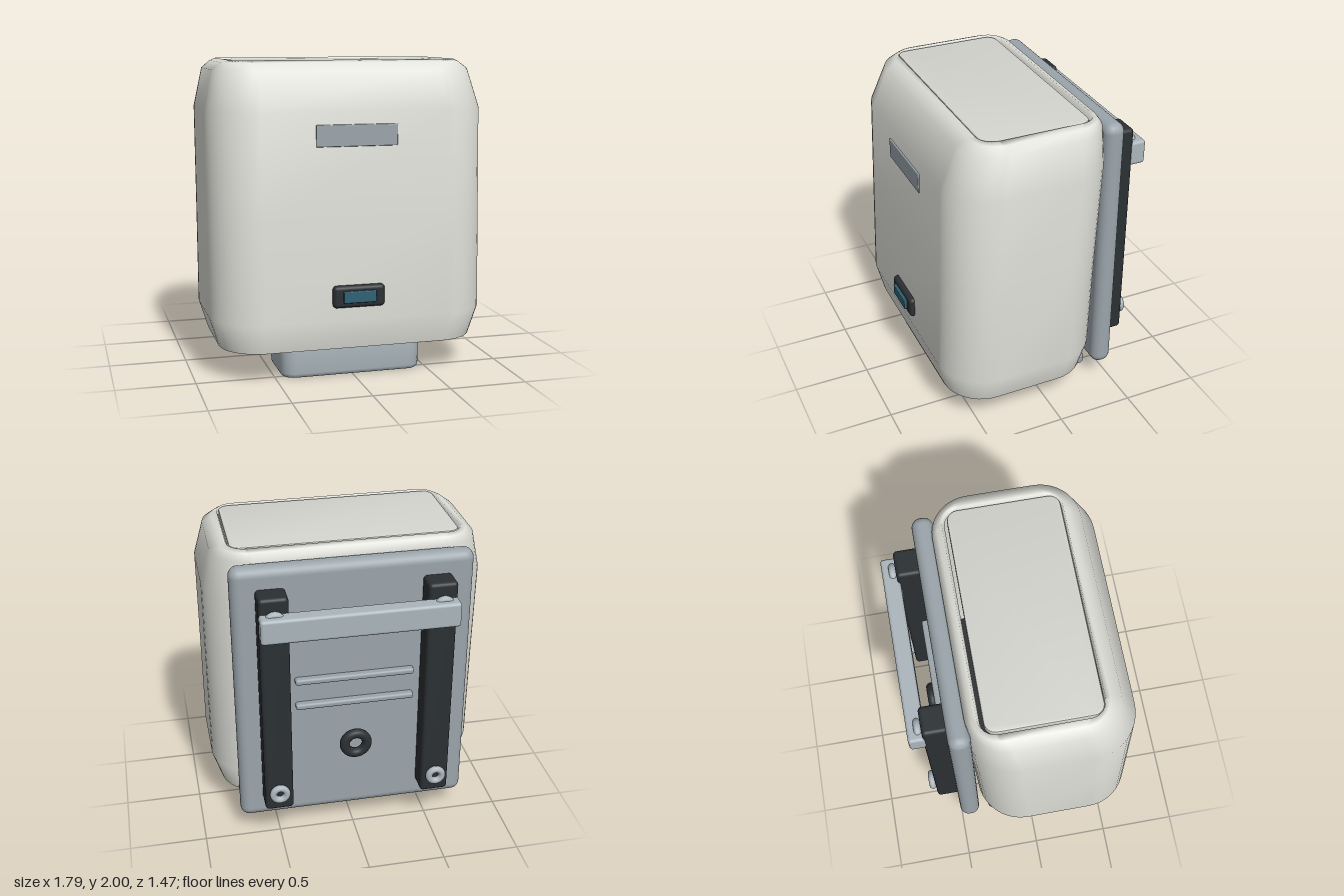
import * as THREE from 'three';
import { toCreasedNormals } from 'three/addons/utils/BufferGeometryUtils.js';
import { RoundedBoxGeometry } from 'three/addons/geometries/RoundedBoxGeometry.js';

const mat = (color, side = THREE.FrontSide) => new THREE.MeshStandardMaterial({ color, side });
const white = mat(0xe0e1da, THREE.DoubleSide);
const lidMat = mat(0xd3d4ce);
const grey = mat(0x9ba5ab);
const pale = mat(0xabb6bc);
const dark = mat(0x2b3033);
const blue = mat(0x2f6073);

// Rounded rectangle outline as [x, z] points
function outline(hw, z0, z1, r, n = 10) {
  const pts = [];
  const corners = [[hw - r, z1 - r], [-hw + r, z1 - r], [-hw + r, z0 + r], [hw - r, z0 + r]];
  corners.forEach(([cx, cz], k) => {
    for (let i = 0; i <= n; i++) {
      const a = (k + i / n) * Math.PI / 2;
      pts.push([cx + r * Math.cos(a), cz + r * Math.sin(a)]);
    }
  });
  return pts;
}

// Skin over sections [y, halfWidth, zBack, zFront, radius], from bottom to top
function loft(sections) {
  const pos = [], idx = [];
  let n = 0;
  sections.forEach(([y, hw, z0, z1, r]) => {
    const ring = outline(hw, z0, z1, r);
    n = ring.length;
    ring.forEach(([x, z]) => pos.push(x, y, z));
  });
  for (let s = 0; s < sections.length - 1; s++) {
    for (let i = 0; i < n; i++) {
      const a = s * n + i, b = s * n + (i + 1) % n;
      idx.push(a, a + n, b, b, a + n, b + n);
    }
  }
  const g = new THREE.BufferGeometry();
  g.setAttribute('position', new THREE.Float32BufferAttribute(pos, 3));
  g.setIndex(idx);
  g.computeVertexNormals();
  return g;
}

// Rounded-rectangle tube standing along y, with an opening through it
function frame(hw, z0, z1, r, ihw, iz0, iz1, ir, y0, y1, bevel) {
  const toV = ([x, z]) => new THREE.Vector2(x, -z);
  const shape = new THREE.Shape(outline(hw, z0, z1, r).map(toV));
  shape.holes.push(new THREE.Path(outline(ihw, iz0, iz1, ir).map(toV)));
  const g = new THREE.ExtrudeGeometry(shape, {
    depth: y1 - y0 - 2 * bevel, bevelEnabled: true, bevelSize: bevel,
    bevelThickness: bevel, bevelOffset: -bevel, bevelSegments: 3,
  });
  g.rotateX(-Math.PI / 2).translate(0, y0 + bevel, 0);
  return toCreasedNormals(g, 0.6);
}

export function createModel() {
  const model = new THREE.Group();
  const add = (name, geometry, material) => {
    const m = new THREE.Mesh(geometry, material);
    m.name = name;
    model.add(m);
    return m;
  };
  // Box given by its limits, with rounded edges when r > 0
  const box = (name, [x0, x1], [y0, y1], [z0, z1], r, material) => {
    const s = [x1 - x0, y1 - y0, z1 - z0];
    const m = add(name, r ? new RoundedBoxGeometry(...s, 4, r) : new THREE.BoxGeometry(...s), material);
    m.position.set((x0 + x1) / 2, (y0 + y1) / 2, (z0 + z1) / 2);
    return m;
  };

  // Housing shell, open below, with a groove around the lid
  add('housing', loft([
    [0.20, 0.835, -0.31, 0.645, 0.26],
    [0.39, 0.895, -0.35, 0.69, 0.30],
    [1.05, 0.895, -0.37, 0.665, 0.30],
    [1.69, 0.895, -0.40, 0.64, 0.30],
    [1.935, 0.835, -0.39, 0.535, 0.25],
    [1.98, 0.775, -0.355, 0.46, 0.17],
    [1.995, 0.735, -0.32, 0.43, 0.11],
    [1.95, 0.725, -0.305, 0.425, 0.09],
  ]), white);
  const toV = ([x, z]) => new THREE.Vector2(x, -z);
  const lid = new THREE.ExtrudeGeometry(new THREE.Shape(outline(0.72, -0.285, 0.42, 0.07).map(toV)),
    { depth: 0.04, bevelSize: 0.01, bevelThickness: 0.01, bevelOffset: -0.01, bevelSegments: 2 });
  lid.rotateX(-Math.PI / 2).translate(0, 1.937, 0);
  add('lid', toCreasedNormals(lid, 0.6), lidMat);

  // Front badge plate and sensor
  box('badgePlate', [-0.26, 0.26], [1.475, 1.61], [0.61, 0.653], 0.006, grey);
  box('sensorHousing', [-0.167, 0.167], [0.475, 0.615], [0.64, 0.716], 0.025, dark);
  box('sensorWindow', [-0.105, 0.105], [0.51, 0.585], [0.69, 0.735], 0.006, blue);

  // Air nozzle with fins
  add('nozzle', frame(0.46, 0.13, 0.575, 0.09, 0.38, 0.21, 0.495, 0.05, 0, 0.32, 0.03), pale);
  box('nozzleRoof', [-0.4, 0.4], [0.2, 0.24], [0.19, 0.515], 0, grey);
  for (let i = 0; i < 4; i++) {
    const x = (i - 1.5) * 0.2;
    box('nozzleFin', [x - 0.008, x + 0.008], [0.04, 0.21], [0.2, 0.505], 0, pale);
  }

  // Intake grille and the dark inner base above it
  box('innerBase', [-0.68, 0.68], [0.27, 0.36], [-0.29, 0.3], 0, dark);
  add('grilleFrame', frame(0.74, -0.305, 0.02, 0.04, 0.7, -0.265, -0.02, 0.02, 0.185, 0.235, 0.006), grey);
  for (let i = 0; i < 9; i++) {
    const x = (i - 4) * 0.15;
    box('grilleSlat', [x - 0.045, x + 0.045], [0.205, 0.217], [-0.28, 0], 0, pale).rotation.z = 0.5;
  }

  // Back plate and its fittings
  box('backPlate', [-0.755, 0.755], [0.14, 1.937], [-0.505, -0.37], 0.06, grey);
  for (const y of [0.98, 1.16]) {
    box('backRib', [-0.38, 0.38], [y - 0.02, y + 0.02], [-0.55, -0.49], 0.015, grey);
  }
  const port = add('cablePort', new THREE.TorusGeometry(0.073, 0.032, 14, 32), dark);
  port.position.set(0, 0.68, -0.568);

  // Wall rails, screw rings and hanging bar
  for (const s of [-1, 1]) {
    box('rail', [s * 0.517 - 0.092, s * 0.517 + 0.092], [0.285, 1.807], [-0.648, -0.49], 0.025, dark);
    for (const y of [0.422, 1.67]) {
      const ring = add('screwRing', new THREE.TorusGeometry(0.044, 0.023, 12, 28), pale);
      ring.position.set(s * 0.517, y, -0.67);
    }
  }
  box('hangingBar', [-0.61, 0.61], [1.55, 1.71], [-0.737, -0.63], 0.02, pale);

  return model;
}
